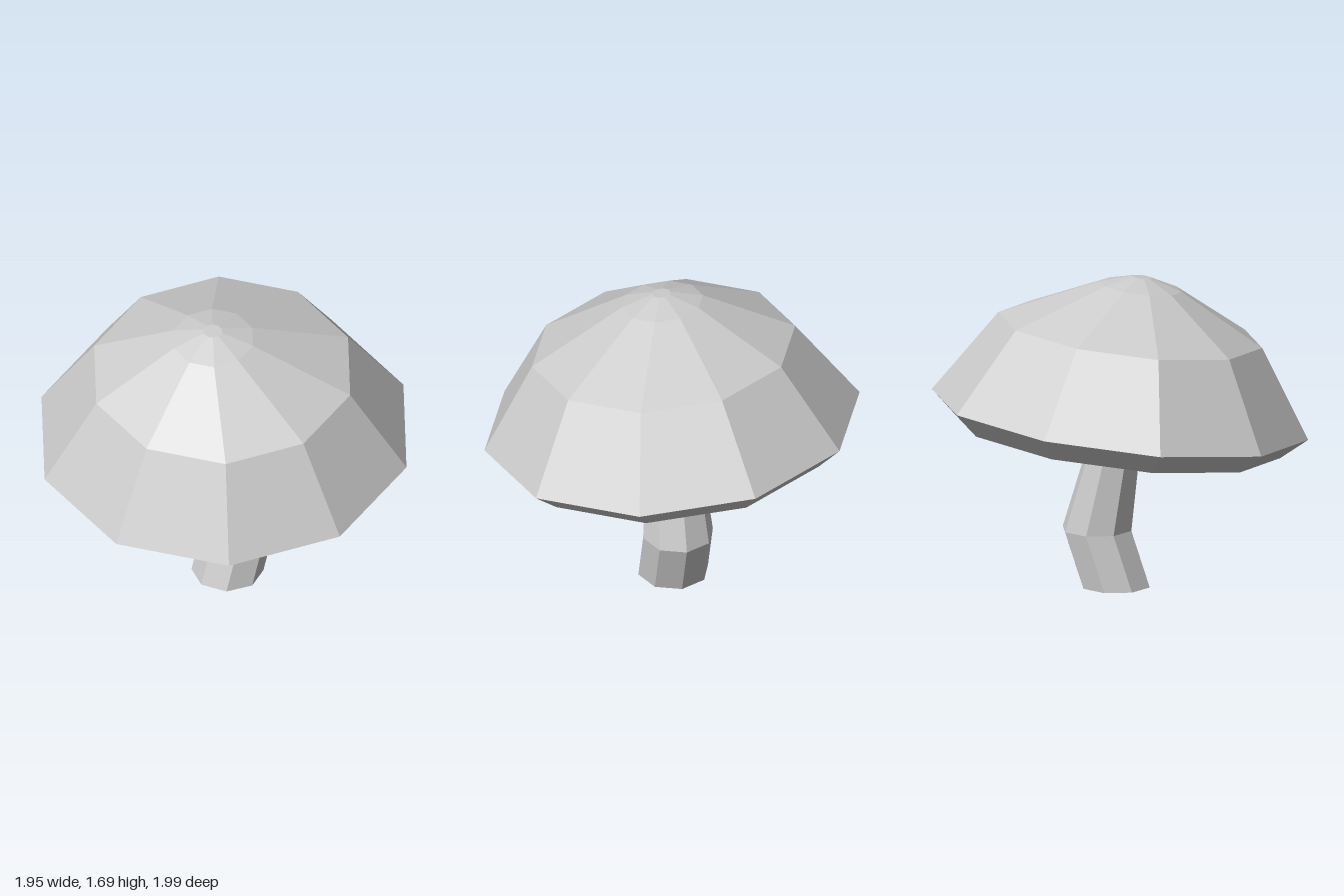
import * as THREE from 'three';

const material = new THREE.MeshStandardMaterial({ color: 0xcccccc, flatShading: true });

// Ten-sided cap: a closed profile turned about a tilted axis, its crown pulled off centre
function makeCap() {
  const profile = [
    [0, 0.06], [0.26, 0.06], [0.78, -0.11], [0.87, -0.117], // hollow underside and lip
    [1.005, 0], [0.705, 0.458], [0.22, 0.705], [0.05, 0.757], [0, 0.757], // dome
  ].map(([r, h]) => new THREE.Vector2(r, h));
  const geometry = new THREE.LatheGeometry(profile, 10, THREE.MathUtils.degToRad(30));
  const p = geometry.attributes.position;
  for (let i = 0; i < p.count; i++) {
    if (p.getY(i) > 0.6) p.setXYZ(i, p.getX(i) - 0.036, p.getY(i), p.getZ(i) - 0.025);
  }
  const cap = new THREE.Mesh(geometry, material);
  cap.name = 'cap';
  cap.position.y = 0.93;
  cap.quaternion.setFromUnitVectors(
    new THREE.Vector3(0, 1, 0), new THREE.Vector3(-0.1, 1, 0.075).normalize());
  return cap;
}

// Eight-sided stem: a cylinder whose three rings are moved to a bent, tapering path
function makeStem() {
  const rings = [ // centre x, height, radius
    [0.025, 0, 0.19], [0.127, 0.3, 0.19], [-0.022, 1.02, 0.118],
  ];
  const geometry = new THREE.CylinderGeometry(1, 1, 2, 8, 2);
  const p = geometry.attributes.position;
  for (let i = 0; i < p.count; i++) {
    const [cx, y, r] = rings[Math.round(p.getY(i)) + 1];
    p.setXYZ(i, cx + p.getX(i) * r, y, p.getZ(i) * r);
  }
  geometry.computeVertexNormals();
  const stem = new THREE.Mesh(geometry, material);
  stem.name = 'stem';
  return stem;
}

export function createModel() {
  const mushroom = new THREE.Group();
  mushroom.name = 'mushroom';
  mushroom.add(makeCap(), makeStem());
  return mushroom;
}
